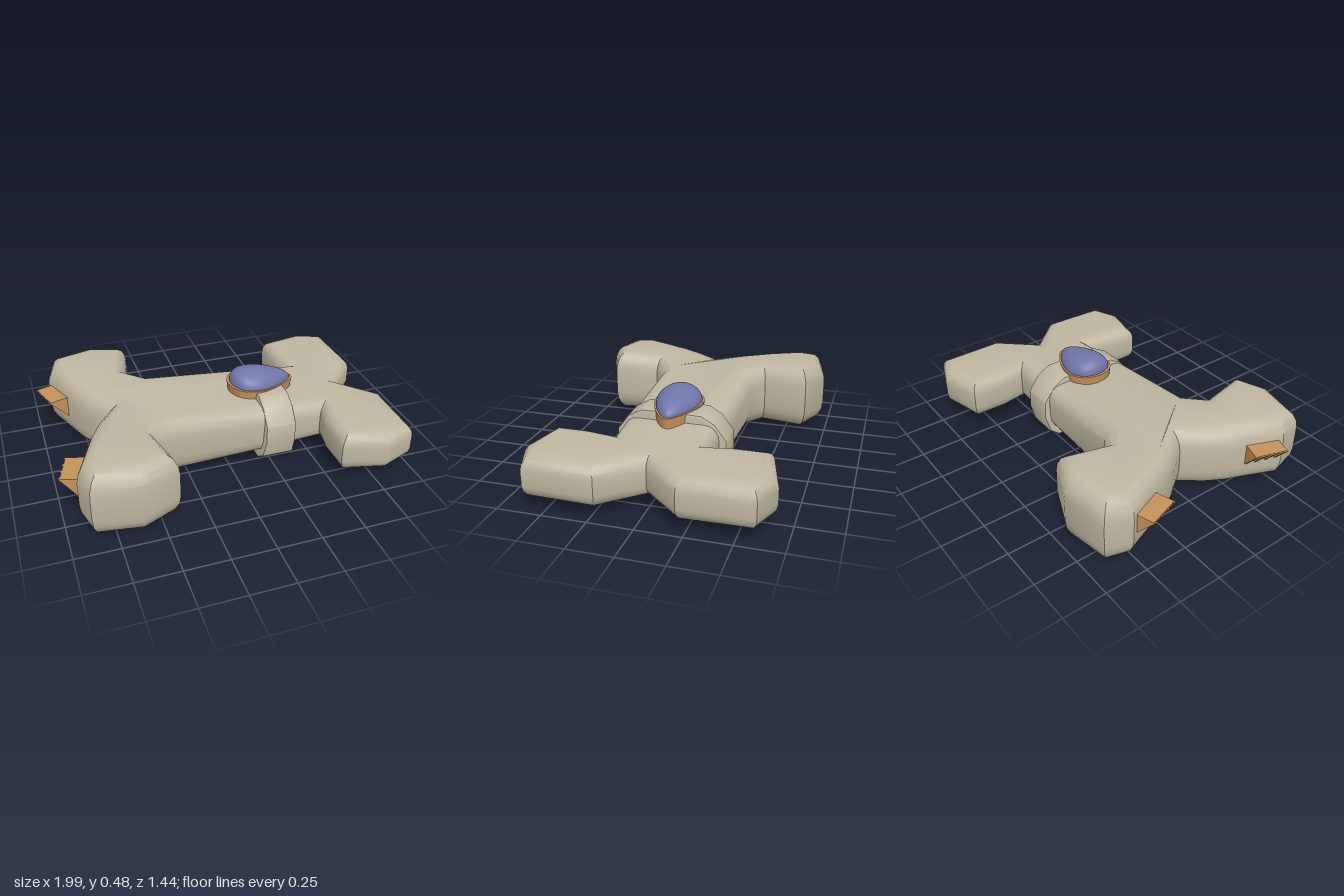
import * as THREE from 'three';
import { toCreasedNormals } from 'three/addons/utils/BufferGeometryUtils.js';

const mat = (name, color) => Object.assign(new THREE.MeshStandardMaterial({ color }), { name });

// Move every vertex by a rule
function reshape(geo, rule) {
  const p = geo.attributes.position, v = new THREE.Vector3();
  for (let i = 0; i < p.count; i++) {
    v.fromBufferAttribute(p, i);
    rule(v);
    p.setXYZ(i, v.x, v.y, v.z);
  }
  return geo;
}

// Closed outline from one half, mirrored across the second axis
function mirroredShape(half) {
  const other = half.filter(q => q[1] !== 0).reverse().map(([a, b]) => [a, -b]);
  return new THREE.Shape([...half, ...other].map(q => new THREE.Vector2(q[0], q[1])));
}

const { clamp, smoothstep, lerp } = THREE.MathUtils;

// Deck and belly heights of the hull
function topY(x, z) {
  const shaft = clamp(0.395 - 0.075 * (x + 0.42), 0.31, 0.4);
  const lobe = 0.43 + 0.045 * (x + 0.45);
  const k = smoothstep(Math.abs(z), 0.18, 0.5) * smoothstep(-x, 0.33, 0.42);
  return lerp(shaft, lobe, k);
}
const bottomY = x => clamp(0.035 + 0.03 * (x + 0.42), 0.02, 0.065);

export function createModel() {
  const model = new THREE.Group();
  const hullMat = mat('warm grey hull', 0xbfb7a1);
  const copper = mat('copper', 0xc6935a);
  const glass = mat('blue glass', 0x7176ab);
  const add = (name, geo, material, parent = model) => {
    const mesh = new THREE.Mesh(geo, material);
    mesh.name = name;
    parent.add(mesh);
    return mesh;
  };

  // Bone-shaped hull: rounded slab whose thickness follows the deck and belly
  const outline = mirroredShape([
    [-0.65, 0], [-0.74, 0.12], [-0.80, 0.23], [-0.835, 0.32], [-0.915, 0.52], [-0.875, 0.67],
    [-0.61, 0.72], [-0.40, 0.63], [-0.45, 0.365], [-0.35, 0.295], [0.2, 0.285], [0.565, 0.265],
    [0.54, 0.40], [0.54, 0.61], [0.80, 0.675], [0.98, 0.605], [0.99, 0.21], [0.89, 0.10], [0.80, 0],
  ].reverse());
  const hull = new THREE.ExtrudeGeometry(outline, {
    depth: 0.36, bevelThickness: 0.32, bevelSize: 0.085, bevelOffset: -0.085, bevelSegments: 4,
  });
  hull.rotateX(-Math.PI / 2);
  reshape(hull, v => { v.y = lerp(bottomY(v.x), topY(v.x, v.z), v.y + 0.32); });
  add('hull', toCreasedNormals(hull, 0.62), hullMat);

  // Collar wrapped round the shaft: section is (height, half width)
  const section = mirroredShape([
    [0.02, 0], [0.02, 0.235], [0.055, 0.28], [0.15, 0.305], [0.25, 0.30],
    [0.33, 0.24], [0.37, 0.17], [0.375, 0],
  ]);
  const collar = new THREE.ExtrudeGeometry(section, {
    depth: 0.155, bevelThickness: 0.015, bevelSize: 0.015, bevelSegments: 2,
  });
  // Section axes (height, width, length) become (y, z, x)
  collar.applyMatrix4(new THREE.Matrix4().makeBasis(
    new THREE.Vector3(0, 1, 0), new THREE.Vector3(0, 0, 1), new THREE.Vector3(1, 0, 0)));
  collar.translate(0.22, 0, 0);
  // The lower part leans back slightly
  reshape(collar, v => { if (v.x < 0.3) v.x -= 0.025 * clamp((0.1 - v.y) / 0.1, 0, 1); });
  add('collar', toCreasedNormals(collar, 0.6), hullMat);

  // Canopy and its rim share an egg-shaped plan, pointed to +x
  const rimY = x => 0.409 - 0.05 * x;
  const egg = (v, s) => {
    const X = v.x;
    v.x = 0.28 + 0.203 * s * X;
    v.z *= 0.13 * s * (1 - 0.4 * X);
  };
  const rim = reshape(new THREE.CylinderGeometry(1, 0.96, 1, 48, 1), v => {
    const t = v.y + 0.5;
    egg(v, 1);
    v.y = rimY(v.x) - 0.065 * (1 - t);
  });
  add('canopyRim', toCreasedNormals(rim, 0.7), copper);

  const dome = reshape(new THREE.SphereGeometry(1, 48, 14, 0, Math.PI * 2, 0, Math.PI / 2), v => {
    const h = v.y;
    egg(v, 0.92);
    v.x -= 0.06 * h * h;
    v.y = rimY(v.x) + 0.088 * h;
  });
  dome.computeVertexNormals();
  add('canopy', dome, glass);

  // Wedge-shaped exhausts on the rear lobes, with fins across the sloping vent face
  const wedge = (inset, width) => new THREE.ExtrudeGeometry(new THREE.Shape([
    new THREE.Vector2(-0.06, 0.295), new THREE.Vector2(-0.06, 0.17 + inset),
    new THREE.Vector2(-0.005, 0.17 + inset), new THREE.Vector2(0.105 - inset, 0.295),
  ]), { depth: width, bevelEnabled: false }).translate(0, 0, -width / 2);
  for (const side of [1, -1]) {
    const exhaust = new THREE.Group();
    exhaust.name = side > 0 ? 'leftExhaust' : 'rightExhaust';
    exhaust.position.set(-0.872, 0, 0.405 * side);
    exhaust.rotation.y = Math.PI - 0.32 * side;
    add('exhaustCore', wedge(0.02, 0.18), copper, exhaust);
    for (let i = 0; i < 4; i++) {
      add('exhaustFin', wedge(0, 0.016), copper, exhaust).position.z = -0.087 + i * 0.058;
    }
    add('exhaustTop', new THREE.BoxGeometry(0.15, 0.012, 0.19), copper, exhaust).position.set(0.022, 0.29, 0);
    model.add(exhaust);
  }

  return model;
}
